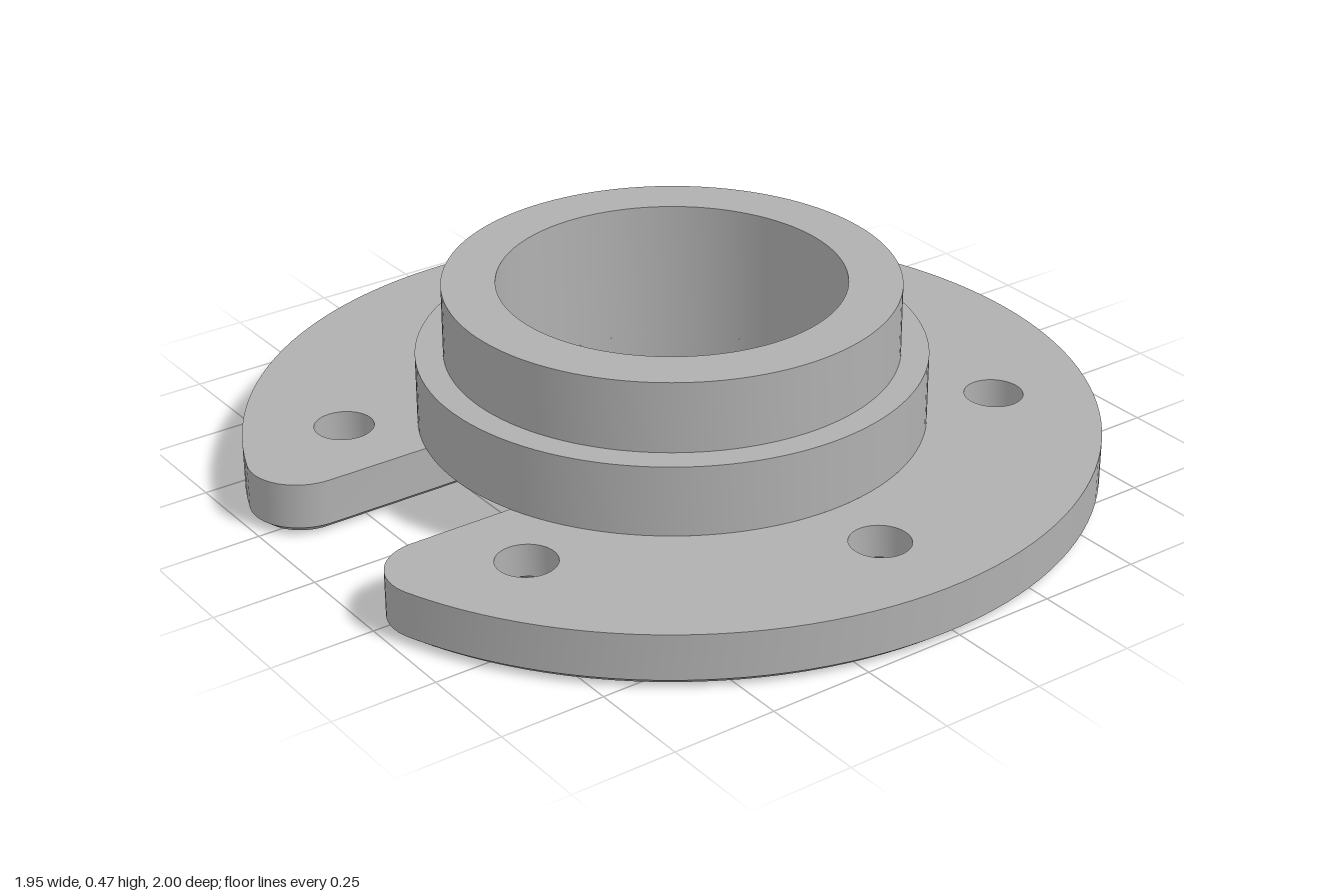
import * as THREE from 'three';
import { toCreasedNormals } from 'three/addons/utils/BufferGeometryUtils.js';

const CENTER_X = -0.03;
const R = 1.0, BORE = 0.405, SLOT = 0.175, FILLET = 0.125;   // flange outline
const COLLAR = 0.595, NECK = 0.53;                           // stepped hub radii
const TOP = 0.13, STEP = 0.30, RIM = 0.47;                   // heights
const CHAMFER = 0.025, CHAMFER_Y = 0.02;
const HOLE = 0.07, SINK = 0.143, SINK_Y = 0.05, HOLE_CIRCLE = 0.765;

function arc(cx, cy, r, from, to, n) {
  return Array.from({ length: n + 1 }, (_, i) => {
    const a = from + (to - from) * i / n;
    return new THREE.Vector2(cx + r * Math.cos(a), cy + r * Math.sin(a));
  });
}

// Slotted ring outline, shrunk inwards by d
function outline(d, bore = BORE) {
  const cy = SLOT + FILLET;
  const cx = -Math.sqrt((R - FILLET) ** 2 - cy ** 2);
  const a = Math.atan2(cy, cx), f = FILLET - d;
  const b = Math.PI - Math.asin((SLOT + d) / (bore + d));
  return [
    ...arc(0, 0, R - d, -a, a, 120),
    ...arc(cx, cy, f, a, Math.PI * 1.5, 16).slice(1),
    ...arc(0, 0, bore + d, b, -b, 96),
    ...arc(cx, -cy, f, Math.PI / 2, Math.PI * 2 - a, 16).slice(0, -1),
  ];
}

// Flat face with bolt holes, facing up or down
function face(points, y, holeRadius, up) {
  const shape = new THREE.Shape(points);
  if (holeRadius) {
    for (const [x, z] of holeCenters()) {
      shape.holes.push(new THREE.Path(arc(x, z, holeRadius, 0, -Math.PI * 2, 40).slice(0, -1)));
    }
  }
  return new THREE.ShapeGeometry(shape).rotateX(up ? -Math.PI / 2 : Math.PI / 2).translate(0, y, 0);
}

// Five sixths of the way round plus one: six holes, none inside the slot
function holeCenters() {
  return [-150, -90, -30, 30, 90, 150].map((deg) => {
    const a = THREE.MathUtils.degToRad(deg);
    return [HOLE_CIRCLE * Math.cos(a), HOLE_CIRCLE * Math.sin(a)];
  });
}

// Side wall through matching outlines, listed from bottom to top
function wall(rings) {
  const pos = [], index = [], n = rings[0].points.length;
  for (const { points, y } of rings) for (const p of points) pos.push(p.x, y, -p.y);
  for (let k = 0; k < rings.length - 1; k++) {
    for (let i = 0; i < n; i++) {
      const a = k * n + i, b = k * n + (i + 1) % n;
      index.push(a, b, b + n, a, b + n, a + n);
    }
  }
  const g = new THREE.BufferGeometry();
  g.setAttribute('position', new THREE.Float32BufferAttribute(pos, 3));
  g.setIndex(index);
  return toCreasedNormals(g, 0.5);
}

function lathe(profile, segments) {
  const points = profile.map(([x, y]) => new THREE.Vector2(x, y));
  return toCreasedNormals(new THREE.LatheGeometry(points, segments), 0.5);
}

export function createModel() {
  const model = new THREE.Group();
  model.name = 'slottedFlange';
  const metal = new THREE.MeshStandardMaterial({ color: 0xb0b0b0 });
  metal.name = 'grey metal';

  const add = (name, geometry, parent = model) => {
    const mesh = new THREE.Mesh(geometry, metal);
    mesh.name = name;
    parent.add(mesh);
    return mesh;
  };

  // Flange plate with chamfered lower edge
  const flange = new THREE.Group();
  flange.name = 'flange';
  model.add(flange);
  add('flangeWall', wall([
    { points: outline(CHAMFER), y: 0 },
    { points: outline(0), y: CHAMFER_Y },
    { points: outline(0), y: TOP },
  ]), flange);
  add('flangeTop', face(outline(0, COLLAR), TOP, HOLE, true), flange);
  add('flangeBottom', face(outline(CHAMFER), 0, SINK, false), flange);

  // Countersunk bolt holes
  for (const [x, z] of holeCenters()) {
    const hole = add('boltHole', lathe([[HOLE, TOP], [HOLE, SINK_Y], [SINK, 0]], 40), flange);
    hole.position.set(x, 0, z);
  }

  // Stepped hub with through bore
  add('hub', lathe([
    [COLLAR, TOP], [COLLAR, STEP], [NECK, STEP], [NECK, RIM], [BORE, RIM], [BORE, TOP],
  ], 120));

  // Underside of the hub where it spans the slot
  const inner = Math.asin(SLOT / BORE), outer = Math.asin(SLOT / COLLAR);
  add('hubUnderside', face([
    ...arc(0, 0, COLLAR, Math.PI - outer, Math.PI + outer, 16),
    ...arc(0, 0, BORE, Math.PI + inner, Math.PI - inner, 16),
  ], TOP, 0, false));

  for (const part of model.children) part.position.x = CENTER_X;
  return model;
}
